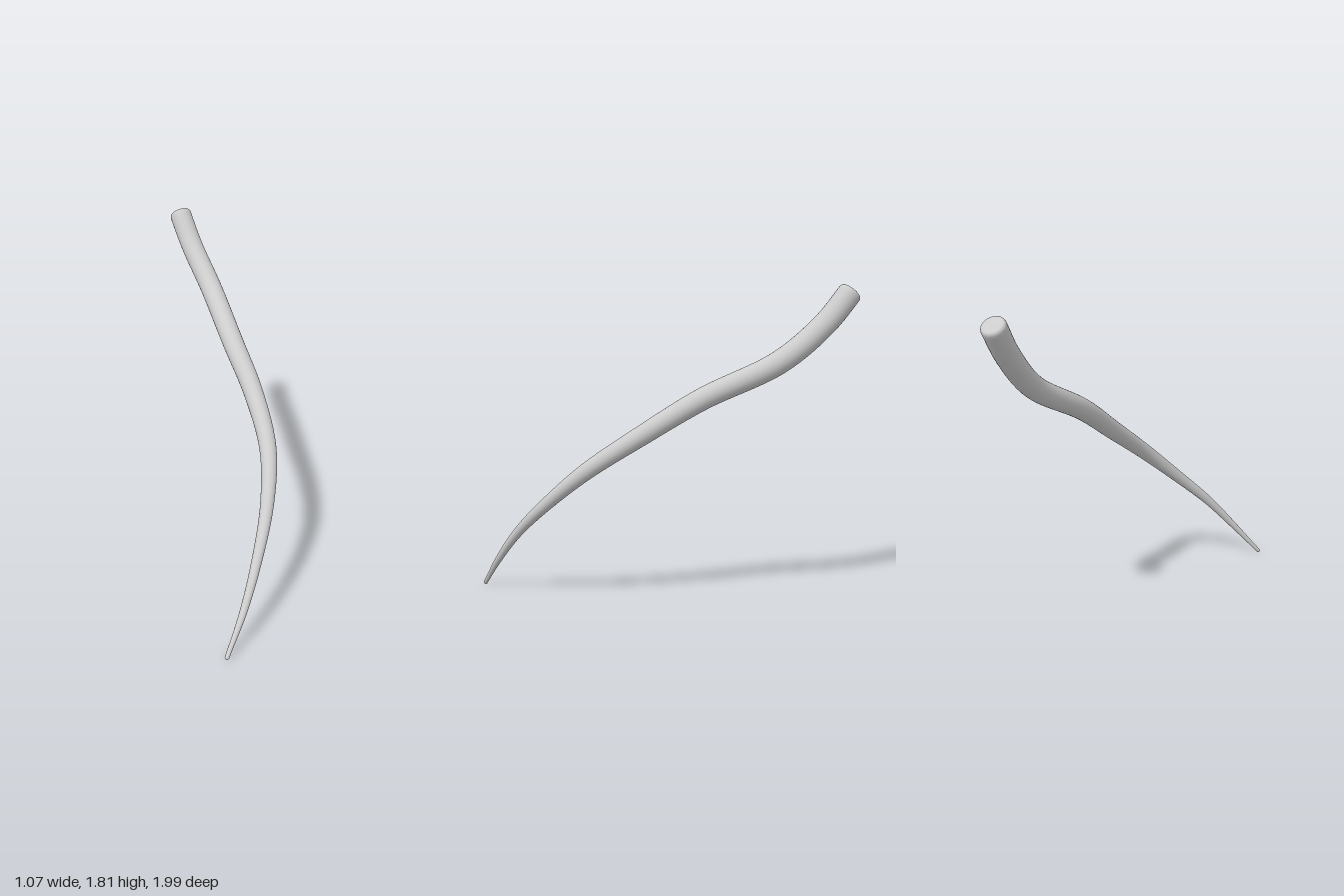
import * as THREE from 'three';

// Centre line of the horn from the thick end to the tip: x, y, z, radius
const STATIONS = [
  [-0.484, 1.777, -0.94, 0.066],
  [-0.37, 1.6, -0.845, 0.065],
  [-0.19, 1.4, -0.68, 0.064],
  [0.055, 1.2, -0.35, 0.061],
  [0.265, 1.0, -0.095, 0.055],
  [0.425, 0.8, 0.16, 0.047],
  [0.492, 0.6, 0.4, 0.037],
  [0.508, 0.4, 0.63, 0.028],
  [0.495, 0.2, 0.82, 0.02],
  [0.459, 0.016, 0.985, 0.012],
];
const STEPS = 80;
const SIDES = 28;

function taperedSweep() {
  const path = new THREE.CatmullRomCurve3(STATIONS.map(([x, y, z]) => new THREE.Vector3(x, y, z)));
  const radii = new THREE.SplineCurve(STATIONS.map((s, i) => new THREE.Vector2(i, s[3])));
  const frames = path.computeFrenetFrames(STEPS, false);

  // Rings: step along the path, shift along the tangent, radius
  const rings = [[0, -0.003, 0], [0, -0.002, 0.048], [0, 0.001, 0.056], [0, 0.007, 0.062], [0, 0.017, 0.0655]];
  for (let i = 1; i <= STEPS; i++) {
    rings.push([i, 0, radii.getPoint(path.getUtoTmapping(i / STEPS)).y]);
  }
  rings.push([STEPS, 0.006, 0.009], [STEPS, 0.009, 0.005], [STEPS, 0.01, 0]);

  const positions = [];
  const indices = [];
  rings.forEach(([step, shift, radius], j) => {
    const centre = path.getPointAt(step / STEPS).addScaledVector(frames.tangents[step], shift);
    for (let i = 0; i < SIDES; i++) {
      const angle = (i / SIDES) * Math.PI * 2;
      const p = centre.clone()
        .addScaledVector(frames.normals[step], Math.cos(angle) * radius)
        .addScaledVector(frames.binormals[step], Math.sin(angle) * radius);
      positions.push(p.x, p.y, p.z);
      if (j === rings.length - 1) continue;
      const a = j * SIDES + i;
      const b = j * SIDES + ((i + 1) % SIDES);
      indices.push(a, b, a + SIDES, b, b + SIDES, a + SIDES);
    }
  });

  const geometry = new THREE.BufferGeometry();
  geometry.setAttribute('position', new THREE.Float32BufferAttribute(positions, 3));
  geometry.setIndex(indices);
  geometry.computeVertexNormals();
  return geometry;
}

export function createModel() {
  const group = new THREE.Group();
  group.name = 'curvedHorn';

  // One smooth tapering body, closed at both ends
  const body = new THREE.Mesh(taperedSweep(), new THREE.MeshStandardMaterial({ color: 0xcccccc }));
  body.name = 'taperedBody';
  group.add(body);
  return group;
}
